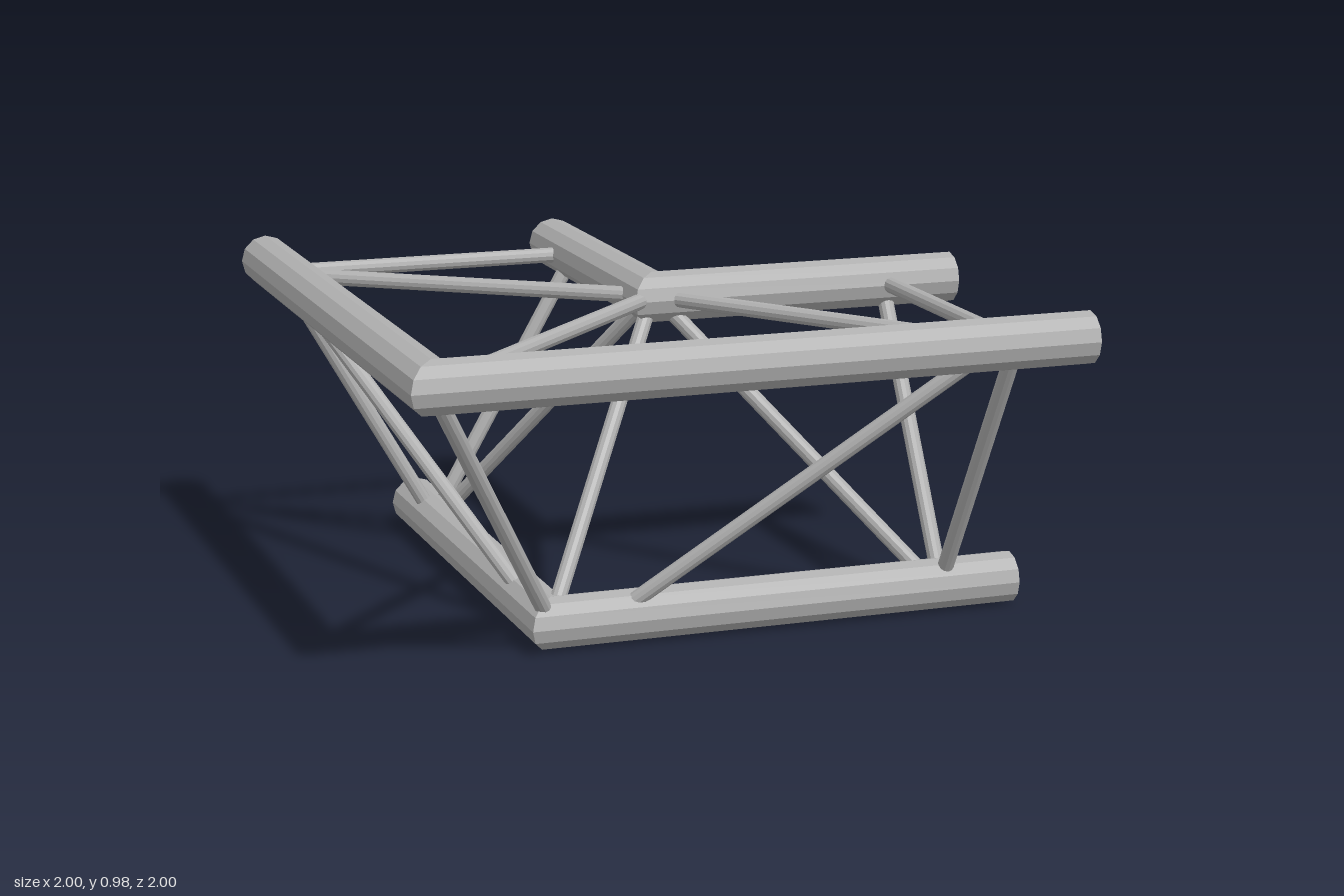
import * as THREE from 'three';

const CHORD_R = 0.077;
const BRACE_R = 0.024;

// Corner points where the two arms of each chord meet (x = -z on the mitre plane)
const OUTER = { x: -0.923, y: 0.907, z: 0.923 };
const INNER = { x: 0.028, y: 0.907, z: -0.028 };
const LOWER = { x: -0.447, y: 0.077, z: 0.447 };

export function createModel() {
  const metal = new THREE.MeshStandardMaterial({ color: 0xb0b0b0, side: THREE.DoubleSide, flatShading: true });
  metal.name = 'grey metal';
  const model = new THREE.Group();
  model.name = 'cornerTruss';

  // Open pipe from a mitred corner out to x = 1 or back to z = -1
  function chord(name, c, alongX) {
    const geo = new THREE.CylinderGeometry(CHORD_R, CHORD_R, 1, 12, 1, true);
    const pos = geo.attributes.position;
    for (let i = 0; i < pos.count; i++) {
      const a = pos.getX(i), b = pos.getZ(i), end = pos.getY(i) > 0;
      if (alongX) pos.setXYZ(i, end ? 1 : c.x - a, c.y + b, c.z + a);
      else pos.setXYZ(i, c.x + a, c.y + b, end ? -1 : c.z - a);
    }
    geo.computeVertexNormals();
    const mesh = new THREE.Mesh(geo, metal);
    mesh.name = name;
    model.add(mesh);
  }

  // Thin round bar between two points
  function brace(name, p, q) {
    const dir = q.clone().sub(p);
    const geo = new THREE.CylinderGeometry(BRACE_R, BRACE_R, dir.length(), 12, 1, true);
    const mesh = new THREE.Mesh(geo, metal);
    mesh.name = name;
    mesh.position.copy(p).add(q).multiplyScalar(0.5);
    mesh.quaternion.setFromUnitVectors(new THREE.Vector3(0, 1, 0), dir.normalize());
    model.add(mesh);
  }

  const corner = (c) => new THREE.Vector3(c.x, c.y, c.z);

  for (const alongX of [true, false]) {
    const arm = alongX ? 'sideArm' : 'backArm';
    // Point on a chord's centre line at distance d along this arm
    const at = (c, d) => alongX ? new THREE.Vector3(d, c.y, c.z) : new THREE.Vector3(c.x, c.y, -d);

    chord(arm + 'OuterChord', OUTER, alongX);
    chord(arm + 'InnerChord', INNER, alongX);
    chord(arm + 'LowerChord', LOWER, alongX);

    // Triangular frame near the open end
    brace(arm + 'EndTopBrace', at(OUTER, 0.775), at(INNER, 0.775));
    brace(arm + 'EndOuterBrace', at(OUTER, 0.775), at(LOWER, 0.775));
    brace(arm + 'EndInnerBrace', at(INNER, 0.775), at(LOWER, 0.775));

    // Diagonals, one per face
    brace(arm + 'TopDiagonal', at(INNER, 0.047), at(OUTER, 0.73));
    brace(arm + 'InnerDiagonal', at(INNER, 0.045), at(LOWER, 0.75));
    brace(arm + 'OuterDiagonal', at(LOWER, -0.26), at(OUTER, 0.71));
  }

  // Triangular frame on the mitre plane
  brace('cornerTopBrace', corner(OUTER), corner(INNER));
  brace('cornerOuterBrace', corner(OUTER), corner(LOWER));
  brace('cornerInnerBrace', corner(INNER), corner(LOWER));

  return model;
}
